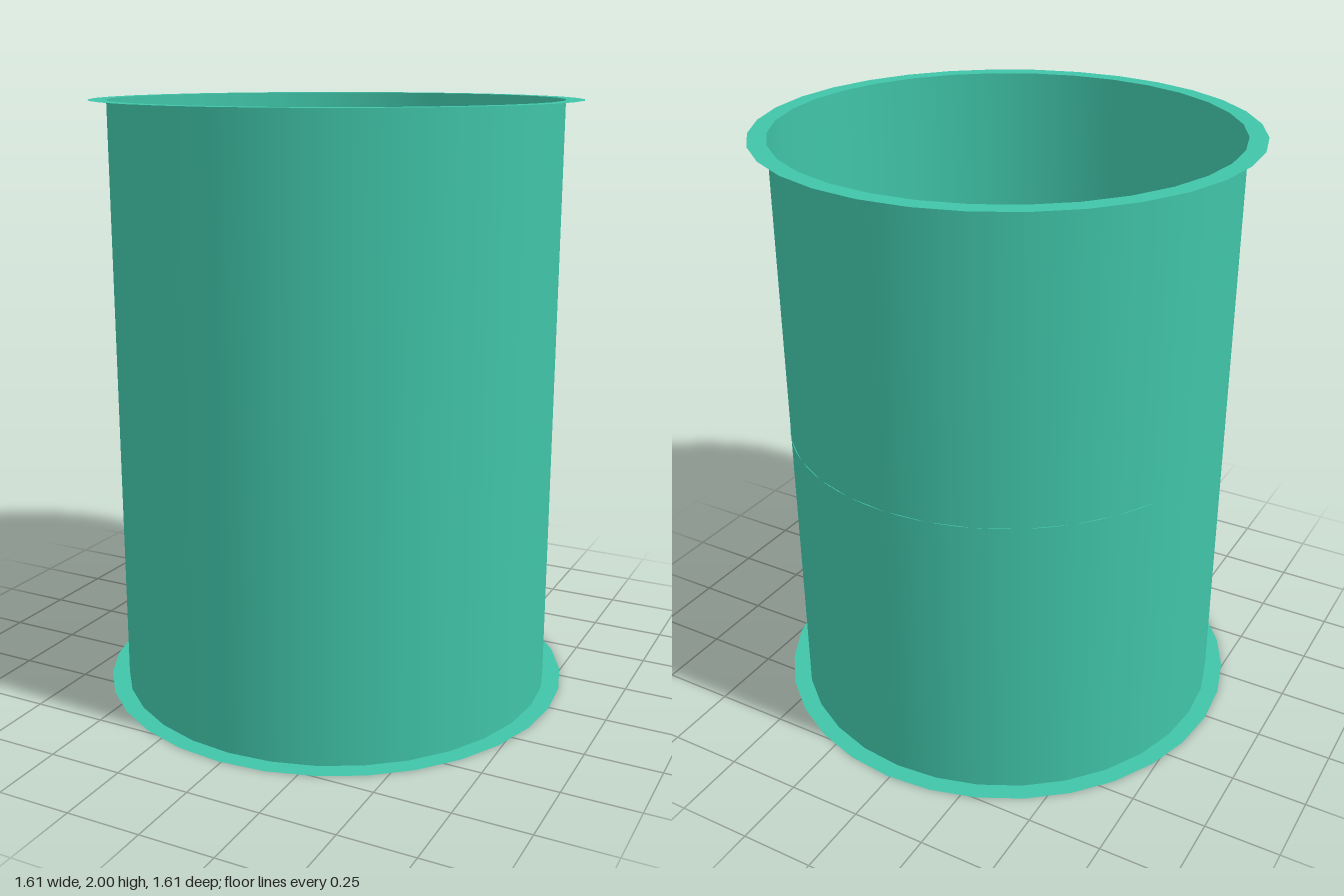
import * as THREE from 'three';

const SIDES = 32, HEIGHT = 2, R = 0.744, FLANGE_R = 0.804;
const PLATE_Y = 1;

export function createModel() {
  const group = new THREE.Group();
  const material = new THREE.MeshStandardMaterial({ color: 0x40c4a8, side: THREE.DoubleSide });

  const add = (name, geometry, x = 0, y = 0, z = 0) => {
    const mesh = new THREE.Mesh(geometry, material);
    mesh.name = name;
    mesh.position.set(x, y, z);
    group.add(mesh);
    return mesh;
  };
  // surface of revolution from [radius, height] pairs
  const turned = (points, sides) =>
    new THREE.LatheGeometry(points.map(([r, y]) => new THREE.Vector2(r, y)), sides, -0.012);

  // open shell with a thin flat flange at each end
  add('shell', turned([[R, 0], [R, HEIGHT]], SIDES));
  add('bottomFlange', turned([[FLANGE_R, 0], [R, 0]], SIDES));
  add('topFlange', turned([[FLANGE_R, 0], [R, 0]], SIDES), 0, HEIGHT);

  // inner platform: a circle segment at the back, with a segment-shaped opening
  const segment = (path, radius, rightY, leftY) => {
    path.absarc(0, 0, radius, Math.asin(rightY / radius), Math.PI - Math.asin(leftY / radius), false);
    path.closePath();
    return path;
  };
  const plate = segment(new THREE.Shape(), R, 0.27, 0.305);
  plate.holes.push(segment(new THREE.Path(), 0.63, 0.334, 0.36));
  add('platform', new THREE.ShapeGeometry(plate, 14).rotateX(-Math.PI / 2), 0, PLATE_Y);

  // pair of flanged bosses standing on the platform
  for (const [side, x] of [['left', 0.415], ['right', -0.42]]) {
    add(side + 'BossFlange', turned([[0.128, 0], [0.095, 0]], 16), x, PLATE_Y + 0.01, -0.337);
    add(side + 'Boss', new THREE.CylinderGeometry(0.095, 0.095, 0.1, 16), x, PLATE_Y + 0.05, -0.337);
  }
  return group;
}
